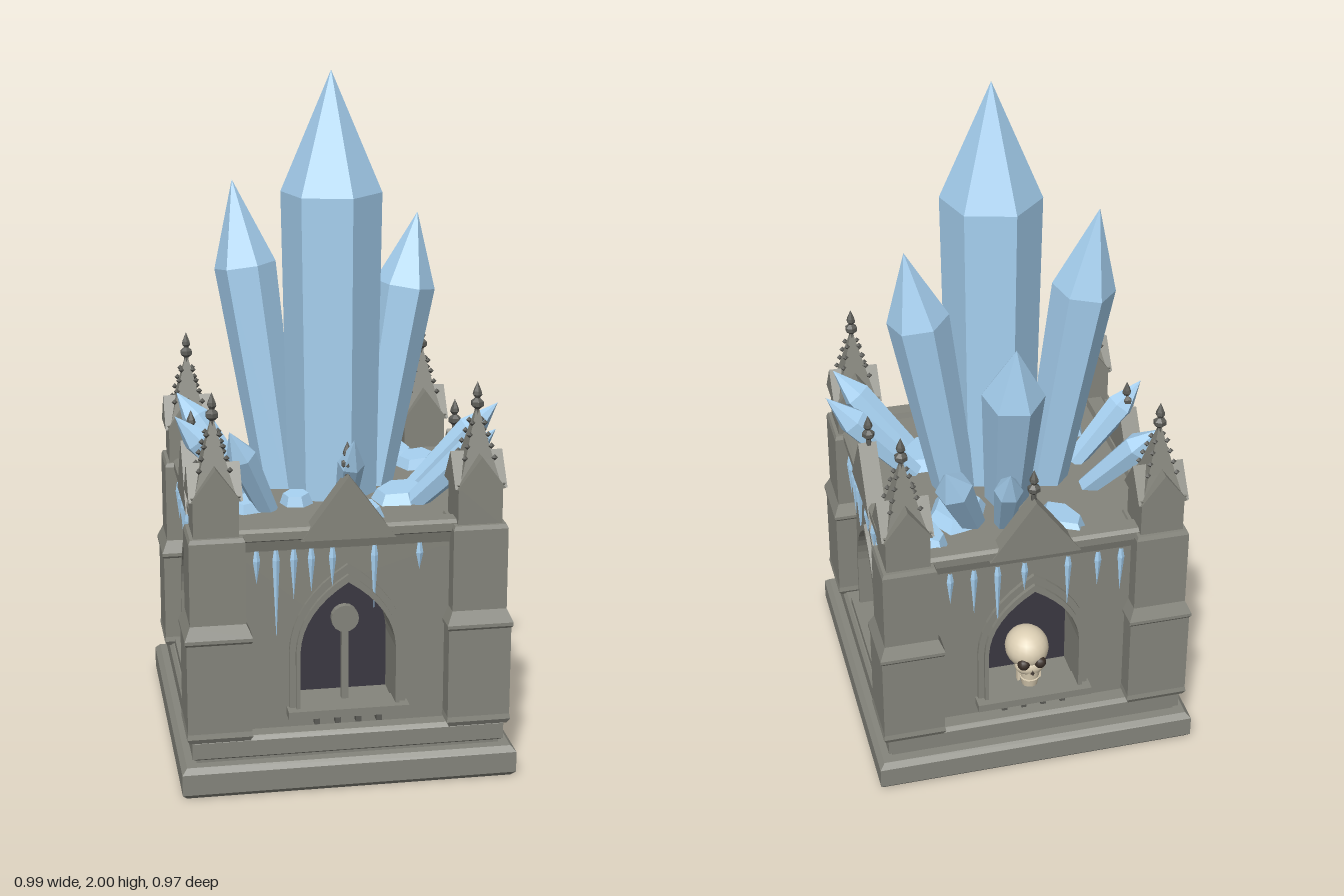
import * as THREE from 'three';

const mat = (color, flatShading = true) => new THREE.MeshStandardMaterial({ color, flatShading });
const stone = mat(0x85857c);
const darkStone = mat(0x5c5c57);
const shadow = mat(0x3b3842);
const ice = mat(0xa6d0f0);
const bone = mat(0xdccfb4, false);
const socket = mat(0x3a2f28, false);

function add(parent, name, geometry, material, x = 0, y = 0, z = 0) {
  let geo = geometry;
  if (material.flatShading) {
    if (geo.index) geo = geo.toNonIndexed();
    geo.computeVertexNormals();
  }
  const mesh = new THREE.Mesh(geo, material);
  mesh.name = name;
  mesh.position.set(x, y, z);
  parent.add(mesh);
  return mesh;
}

// Turned profile of [radius, height] pairs with a few flat sides
const turned = (profile, sides, phase = 0) =>
  new THREE.LatheGeometry(profile.map(([r, y]) => new THREE.Vector2(r, y)), sides, phase);
// Square block of stacked [halfWidth, height] pairs
const tiers = (profile) =>
  turned(profile.map(([r, y]) => [r * Math.SQRT2, y]), 4, Math.PI / 4);
const box = (w, h, d) => new THREE.BoxGeometry(w, h, d);

// Pointed arch outline standing on y = bottom
function arch(Type, half, bottom, spring, apex) {
  const s = new Type();
  s.moveTo(-half, bottom);
  s.lineTo(half, bottom);
  s.lineTo(half, spring);
  s.quadraticCurveTo(half * 0.96, spring + (apex - spring) * 0.6, 0, apex);
  s.quadraticCurveTo(-half * 0.96, spring + (apex - spring) * 0.6, -half, spring);
  s.closePath();
  return s;
}
const extrude = (shape, depth) =>
  new THREE.ExtrudeGeometry(shape, { depth, bevelEnabled: false, curveSegments: 8 });

function triangle(half, bottom, apex) {
  return new THREE.Shape([
    new THREE.Vector2(-half, bottom), new THREE.Vector2(half, bottom), new THREE.Vector2(0, apex)]);
}

// Small knobbed finial standing on y = 0
const finialProfile = [[0, 0], [0.009, 0], [0.007, 0.02], [0.019, 0.03], [0.019, 0.042],
  [0.007, 0.052], [0.014, 0.062], [0.012, 0.072], [0, 0.1]];

function createTower() {
  const g = new THREE.Group();
  g.name = 'cornerTower';
  add(g, 'buttress', tiers([[0.086, 0.16], [0.094, 0.175], [0.091, 0.19], [0.091, 0.455], [0.096, 0.462],
    [0.096, 0.472], [0.079, 0.51], [0.079, 0.75], [0.074, 0.762], [0, 0.762]]), stone);
  add(g, 'pinnacleShaft', tiers([[0.064, 0.755], [0.064, 0.872], [0.07, 0.88], [0, 0.88]]), stone);
  for (const turn of [0, Math.PI / 2]) {
    const roof = extrude(triangle(0.07, 0.868, 0.962), 0.15);
    roof.translate(0, 0, -0.075);
    add(g, 'crossGable', roof, stone).rotation.y = turn;
  }
  add(g, 'spire', tiers([[0.055, 0.89], [0.04, 0.945], [0, 1.1]]), stone);
  // crockets climbing the four spire edges
  for (let edge = 0; edge < 4; edge++) {
    const a = Math.PI / 4 + edge * Math.PI / 2;
    for (let i = 0; i < 4; i++) {
      const y = 0.95 + i * 0.032, r = (1.105 - y) * 0.365 + 0.004;
      add(g, 'crocket', new THREE.OctahedronGeometry(0.0095), darkStone,
        Math.sin(a) * r, y, Math.cos(a) * r);
    }
  }
  add(g, 'finial', turned(finialProfile, 6), darkStone, 0, 1.062, 0);
  return g;
}

function createSkull() {
  const g = new THREE.Group();
  g.name = 'skull';
  add(g, 'cranium', new THREE.SphereGeometry(0.066, 20, 14), bone, 0, 0.112, -0.012).scale.set(1, 0.95, 1.1);
  add(g, 'cheeks', new THREE.SphereGeometry(0.045, 16, 10), bone, 0, 0.072, 0.026).scale.set(1.05, 0.7, 0.75);
  add(g, 'upperJaw', new THREE.CylinderGeometry(0.032, 0.028, 0.035, 14), bone, 0, 0.05, 0.026);
  add(g, 'lowerJaw', new THREE.CylinderGeometry(0.03, 0.024, 0.026, 14), bone, 0, 0.014, 0.024);
  for (const s of [-1, 1]) {
    add(g, 'eyeSocket', new THREE.SphereGeometry(0.019, 12, 8), socket, s * 0.025, 0.092, 0.048);
    add(g, 'jawHinge', box(0.008, 0.05, 0.016), bone, s * 0.033, 0.035, 0.012);
  }
  add(g, 'noseHole', new THREE.ConeGeometry(0.01, 0.022, 3), socket, 0, 0.068, 0.057);
  return g;
}

// Icicles per side: [position along the wall, length]
const icicles = [
  [[-0.26, 0.08], [-0.205, 0.25], [-0.155, 0.13], [-0.105, 0.11], [-0.045, 0.1], [0.075, 0.18], [0.205, 0.06]],
  [[-0.26, 0.12], [-0.23, 0.07], [-0.19, 0.15], [-0.145, 0.1], [-0.11, 0.18], [0.02, 0.08], [0.12, 0.07], [0.2, 0.1]],
  [[-0.25, 0.09], [-0.18, 0.14], [-0.11, 0.2], [-0.03, 0.08], [0.1, 0.16], [0.19, 0.1], [0.26, 0.13]],
  [[-0.27, 0.1], [-0.19, 0.08], [-0.1, 0.15], [0.03, 0.1], [0.11, 0.2], [0.18, 0.13], [0.25, 0.08]],
];

function createSide(index) {
  const g = new THREE.Group();
  g.name = 'wallSide';
  const wall = new THREE.Shape([
    new THREE.Vector2(-0.33, 0.16), new THREE.Vector2(0.33, 0.16),
    new THREE.Vector2(0.33, 0.71), new THREE.Vector2(-0.33, 0.71)]);
  wall.holes.push(arch(THREE.Path, 0.138, 0.22, 0.4, 0.605));
  add(g, 'wall', extrude(wall, 0.14), stone, 0, 0, 0.26);

  // stepped arch moulding
  for (const [outer, apex, z] of [[0.168, 0.655, 0.412], [0.15, 0.628, 0.424]]) {
    const frame = arch(THREE.Shape, outer, 0.22, 0.4, apex);
    frame.holes.push(arch(THREE.Path, 0.138, 0.221, 0.4, 0.605));
    add(g, 'windowFrame', extrude(frame, 0.05), stone, 0, 0, z - 0.05);
  }
  add(g, 'windowSill', box(0.35, 0.024, 0.09), stone, 0, 0.217, 0.4);
  for (let i = 0; i < 4; i++)
    add(g, 'sillBracket', box(0.016, 0.028, 0.03), darkStone, -0.09 + i * 0.06, 0.193, 0.41);

  if (index === 2) {
    const skull = createSkull();
    skull.position.set(0, 0.229, 0.35);
    g.add(skull);
  } else {
    add(g, 'mullion', box(0.02, 0.23, 0.02), stone, 0, 0.335, 0.36);
    const disc = add(g, 'traceryDisc', new THREE.CylinderGeometry(0.04, 0.04, 0.022, 16), stone, 0, 0.475, 0.36);
    disc.rotation.x = Math.PI / 2;
  }

  add(g, 'gable', extrude(triangle(0.135, 0.735, 0.92), 0.055), stone, 0, 0, 0.375);
  add(g, 'gableFinial', turned(finialProfile, 6), darkStone, 0, 0.912, 0.398);
  for (const [x, length] of icicles[index])
    add(g, 'icicle', turned([[0, -length], [0.011, -0.01], [0.006, 0.02]], 5), ice, x, 0.69, 0.414);
  return g;
}

// Six-sided crystal from its foot to its tip
function addCrystal(parent, foot, tip, radius, shoulder = 0.78, taper = 0.72, phase = 0.3) {
  const a = new THREE.Vector3(...foot), axis = new THREE.Vector3(...tip).sub(a);
  const h = axis.length();
  const geo = turned([[0, 0], [radius * taper, 0], [radius, h * shoulder], [0, h]], 6, phase);
  const mesh = add(parent, 'crystal', geo, ice, ...foot);
  mesh.quaternion.setFromUnitVectors(new THREE.Vector3(0, 1, 0), axis.normalize());
}

export function createModel() {
  const model = new THREE.Group();
  model.name = 'crystalShrine';

  const shrine = new THREE.Group();
  shrine.name = 'shrine';
  shrine.position.set(-0.013, 0, -0.002);
  model.add(shrine);

  add(shrine, 'plinth', tiers([[0, 0], [0.472, 0], [0.485, 0.014], [0.485, 0.076], [0.47, 0.092], [0.44, 0.092],
    [0.44, 0.1], [0.452, 0.108], [0.452, 0.155], [0.442, 0.167], [0, 0.167]]), stone);
  add(shrine, 'darkInterior', box(0.54, 0.53, 0.54), shadow, 0, 0.43, 0);
  add(shrine, 'corniceAndRoof', tiers([[0.3, 0.69], [0.402, 0.69], [0.402, 0.703], [0.412, 0.735], [0.426, 0.742],
    [0.426, 0.765], [0.416, 0.774], [0.37, 0.774], [0.365, 0.755], [0, 0.755]]), stone);

  for (let i = 0; i < 4; i++) {
    const side = createSide(i);
    side.rotation.y = i * Math.PI / 2;
    shrine.add(side);
    const tower = createTower();
    tower.position.set(i % 2 ? 0.374 : -0.374, 0, i < 2 ? 0.374 : -0.374);
    shrine.add(tower);
  }

  // Crystal cluster
  const cluster = new THREE.Group();
  cluster.name = 'crystalCluster';
  model.add(cluster);
  addCrystal(cluster, [0.005, 0.74, 0.03], [0, 2, 0.04], 0.147, 0.725, 0.9, 0.27);
  addCrystal(cluster, [-0.14, 0.74, -0.06], [-0.265, 1.67, -0.14], 0.092, 0.73);
  addCrystal(cluster, [0.135, 0.74, -0.045], [0.28, 1.57, -0.08], 0.09, 0.74);
  addCrystal(cluster, [0, 0.74, -0.14], [0.02, 1.36, -0.325], 0.09, 0.72);
  const small = [
    [0.04, -0.27, 0.065, 1.03, -0.44, 0.042], [0.13, -0.24, 0.235, 1.02, -0.37, 0.055],
    [-0.25, -0.14, -0.43, 1, -0.265, 0.045], [-0.25, 0, -0.46, 1, 0.015, 0.043],
    [0.24, 0.06, 0.49, 1.025, 0.105, 0.045], [0.22, 0.18, 0.435, 1, 0.3, 0.045],
    [0, 0.26, 0, 1.025, 0.435, 0.038], [-0.21, 0.18, -0.33, 1.02, 0.28, 0.045]];
  for (const [x, z, tx, ty, tz, r] of small)
    addCrystal(cluster, [x, 0.75, z], [tx, ty, tz], r, 0.7);

  // Flat frost shards on the roof: x, z, half width, half length, turn
  const shards = [[-0.125, -0.31, 0.055, 0.1, 0.35], [0.16, -0.19, 0.09, 0.12, -0.4], [0.31, -0.2, 0.065, 0.09, -0.5],
    [0.27, -0.3, 0.045, 0.09, 0.2], [0.19, 0.13, 0.08, 0.11, -0.7], [0.06, 0.28, 0.05, 0.08, 0.2],
    [-0.27, 0.17, 0.065, 0.06, 0.8], [-0.12, 0.14, 0.05, 0.05, 0.3], [0.03, 0.19, 0.08, 0.06, 1.2]];
  for (const [x, z, w, l, turn] of shards) {
    const shard = add(cluster, 'frostShard', new THREE.CylinderGeometry(0.75, 1, 1, 6), ice, x, 0.77, z);
    shard.scale.set(w, 0.034, l);
    shard.rotation.set(0.04, turn, 0.05);
  }
  return model;
}
